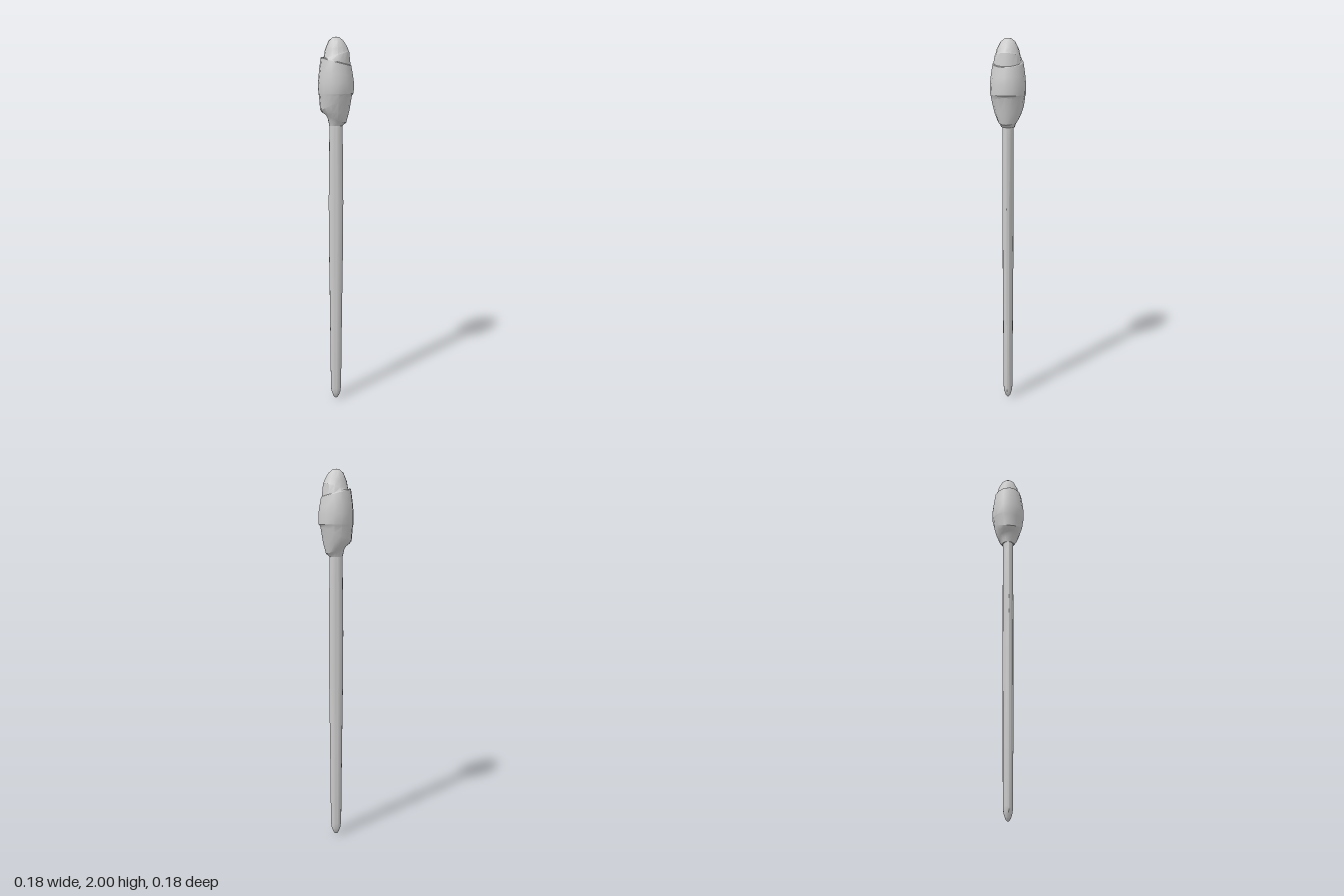
import * as THREE from 'three';
import { toCreasedNormals } from 'three/addons/utils/BufferGeometryUtils.js';

const material = new THREE.MeshStandardMaterial({ color: 0xcccccc });

// Skin a tube over rings listed top to bottom: [y, x radius, z radius, rise towards +x]
function loft(name, rings, sides) {
  const geo = new THREE.CylinderGeometry(1, 1, 1, sides, rings.length - 1, true, Math.PI / 2);
  const pos = geo.attributes.position;
  for (let i = 0; i < pos.count; i++) {
    const [y, rx, rz, tilt] = rings[Math.floor(i / (sides + 1))];
    const x = pos.getX(i), z = pos.getZ(i);
    pos.setXYZ(i, x * rx, y + tilt * x, z * rz);
  }
  const mesh = new THREE.Mesh(toCreasedNormals(geo, 0.5), material);
  mesh.name = name;
  return mesh;
}

export function createModel() {
  const group = new THREE.Group();
  group.name = 'mallet';

  // Slim oval handle, slightly swollen in the middle, with a rounded tip
  group.add(loft('handle', [
    [1.6, 0.033, 0.029, 0],
    [1.5, 0.035, 0.029, 0],
    [1.15, 0.039, 0.029, 0],
    [0.9, 0.038, 0.029, 0],
    [0.5, 0.033, 0.027, 0],
    [0.07, 0.029, 0.025, 0],
    [0.04, 0.025, 0.022, 0],
    [0.015, 0.016, 0.014, 0],
    [0.004, 0.008, 0.007, 0],
    [0, 0.0001, 0.0001, 0],
  ], 14));

  // Wound head: bands tilt alternately, with a small lip where they overlap
  const bands = [
    [2, 0.0001, 0],
    [1.997, 0.018, 0],
    [1.98, 0.038, 0],
    [1.945, 0.056, 0.008],
    [1.912, 0.064, 0.02],
    [1.908, 0.067, 0.02],
    [1.882, 0.074, -0.02],
    [1.878, 0.078, -0.02],
    [1.82, 0.087, -0.012],
    [1.775, 0.092, 0],
    [1.72, 0.091, 0],
    [1.712, 0.088, 0.005],
    [1.672, 0.082, 0.038],
    [1.625, 0.069, 0.005],
    [1.59, 0.053, -0.02],
    [1.577, 0.043, -0.014],
    [1.555, 0.035, 0],
    [1.553, 0.0001, 0],
  ];
  group.add(loft('head', bands.map(([y, r, tilt]) => [y, r, r, tilt]), 14));

  return group;
}
